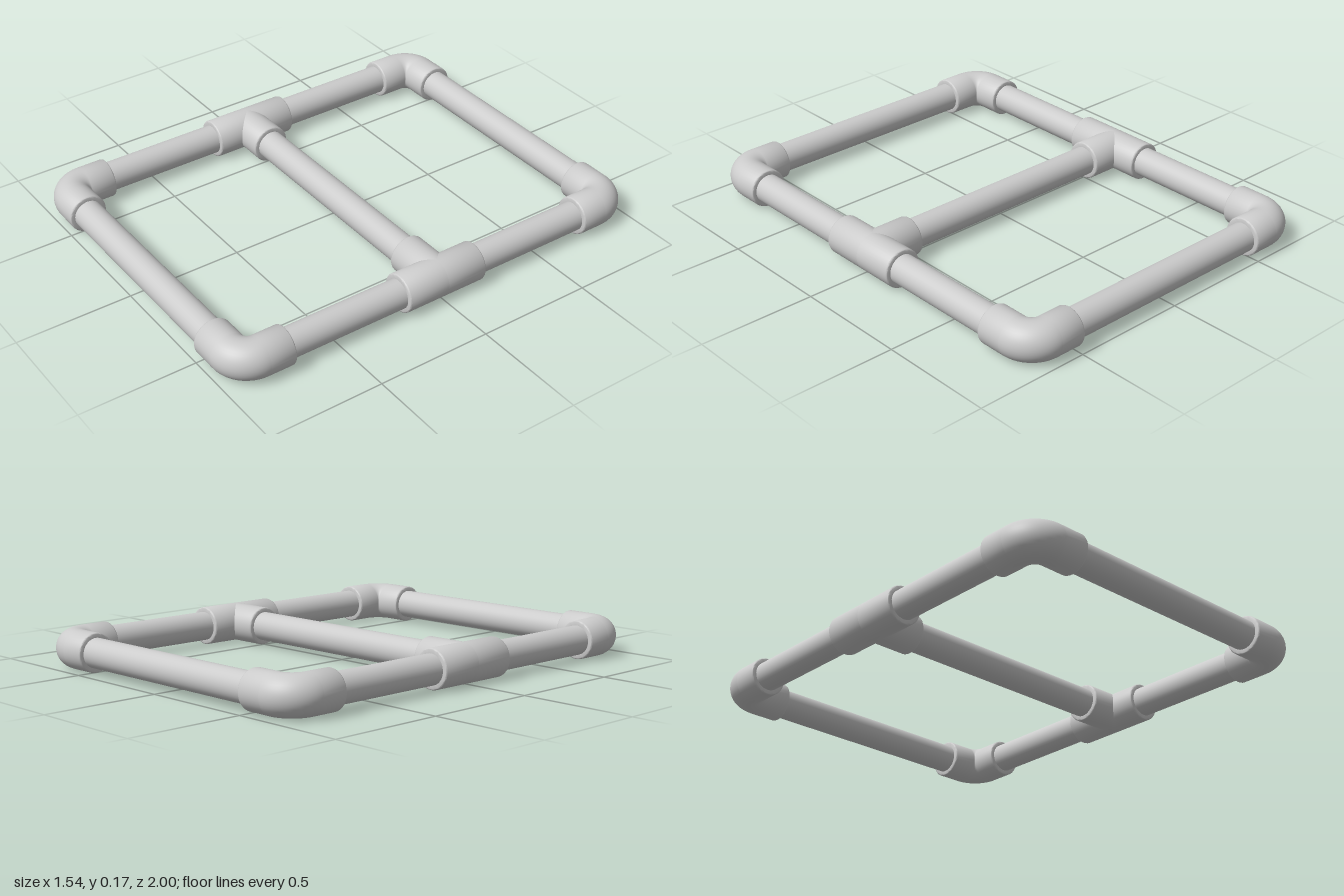
import * as THREE from 'three';
import { toCreasedNormals } from 'three/addons/utils/BufferGeometryUtils.js';

const R = 0.083;          // fitting radius
const r = 0.063;          // pipe radius
const X = 0.687, Z = 0.917; // centrelines of the frame
const BEND = 0.084;       // elbow bend radius
const REACH = 0.198;      // corner centre to collar end
const SIDES = 40;
const UP = new THREE.Vector3(0, 1, 0);
const material = new THREE.MeshStandardMaterial({ color: 0xcccccc });

function addMesh(parent, name, geometry, x = 0, y = 0, z = 0) {
  const mesh = new THREE.Mesh(geometry, material);
  mesh.name = name;
  mesh.position.set(x, y, z);
  parent.add(mesh);
  return mesh;
}

// Socket sleeve running along dir, with a softened rim closing onto the pipe
function addSocket(parent, name, dir, start, end) {
  const c = 0.005;
  const profile = [[R, start], [R, end - c], [R - c * 0.3, end - c * 0.3], [R - c, end], [r - 0.002, end]]
    .map(([x, y]) => new THREE.Vector2(x, y));
  const geometry = toCreasedNormals(new THREE.LatheGeometry(profile, SIDES), 0.9);
  const mesh = addMesh(parent, name, geometry);
  mesh.quaternion.setFromUnitVectors(UP, dir);
  return mesh;
}

// Straight pipe along x or z
function addPipe(parent, name, axis, length, x, z) {
  const geometry = new THREE.CylinderGeometry(r, r, length, SIDES);
  if (axis === 'x') geometry.rotateZ(Math.PI / 2);
  else geometry.rotateX(Math.PI / 2);
  addMesh(parent, name, geometry, x, 0, z);
}

// Quarter bend with a socket on each arm; arms point to -x and -z
function makeElbow() {
  const elbow = new THREE.Group();
  elbow.name = 'elbow';
  const bend = new THREE.TorusGeometry(BEND, R, SIDES, 24, Math.PI / 2);
  bend.rotateX(Math.PI / 2);
  addMesh(elbow, 'elbowBend', bend, -BEND, 0, -BEND);
  addSocket(elbow, 'elbowSocketX', new THREE.Vector3(-1, 0, 0), BEND, REACH);
  addSocket(elbow, 'elbowSocketZ', new THREE.Vector3(0, 0, -1), BEND, REACH);
  return elbow;
}

// Straight-through sleeve along z with a branch towards -x
function makeTee() {
  const tee = new THREE.Group();
  tee.name = 'tee';
  addSocket(tee, 'teeSocketFront', new THREE.Vector3(0, 0, 1), 0, 0.188);
  addSocket(tee, 'teeSocketBack', new THREE.Vector3(0, 0, -1), 0, 0.188);
  addSocket(tee, 'teeBranch', new THREE.Vector3(-1, 0, 0), 0, 0.19);
  return tee;
}

export function createModel() {
  const model = new THREE.Group();
  model.name = 'pipeFrame';
  const frame = new THREE.Group();
  frame.name = 'frame';
  frame.position.y = R;
  model.add(frame);

  // Elbows at the four corners
  [[1, 1], [1, -1], [-1, -1], [-1, 1]].forEach(([sx, sz], i) => {
    const elbow = makeElbow();
    elbow.position.set(sx * X, 0, sz * Z);
    elbow.rotation.y = i * Math.PI / 2;
    frame.add(elbow);
  });

  // Tees and side pipes
  for (const s of [1, -1]) {
    const tee = makeTee();
    tee.position.x = s * X;
    if (s < 0) tee.rotation.y = Math.PI;
    frame.add(tee);
    for (const t of [1, -1]) addPipe(frame, 'sidePipe', 'z', 0.66, s * X, t * 0.455);
  }

  // Front, middle and back cross pipes
  addPipe(frame, 'frontPipe', 'x', 1.1, 0, Z);
  addPipe(frame, 'middlePipe', 'x', 1.1, 0, 0);
  addPipe(frame, 'backPipe', 'x', 1.1, 0, -Z);

  return model;
}
